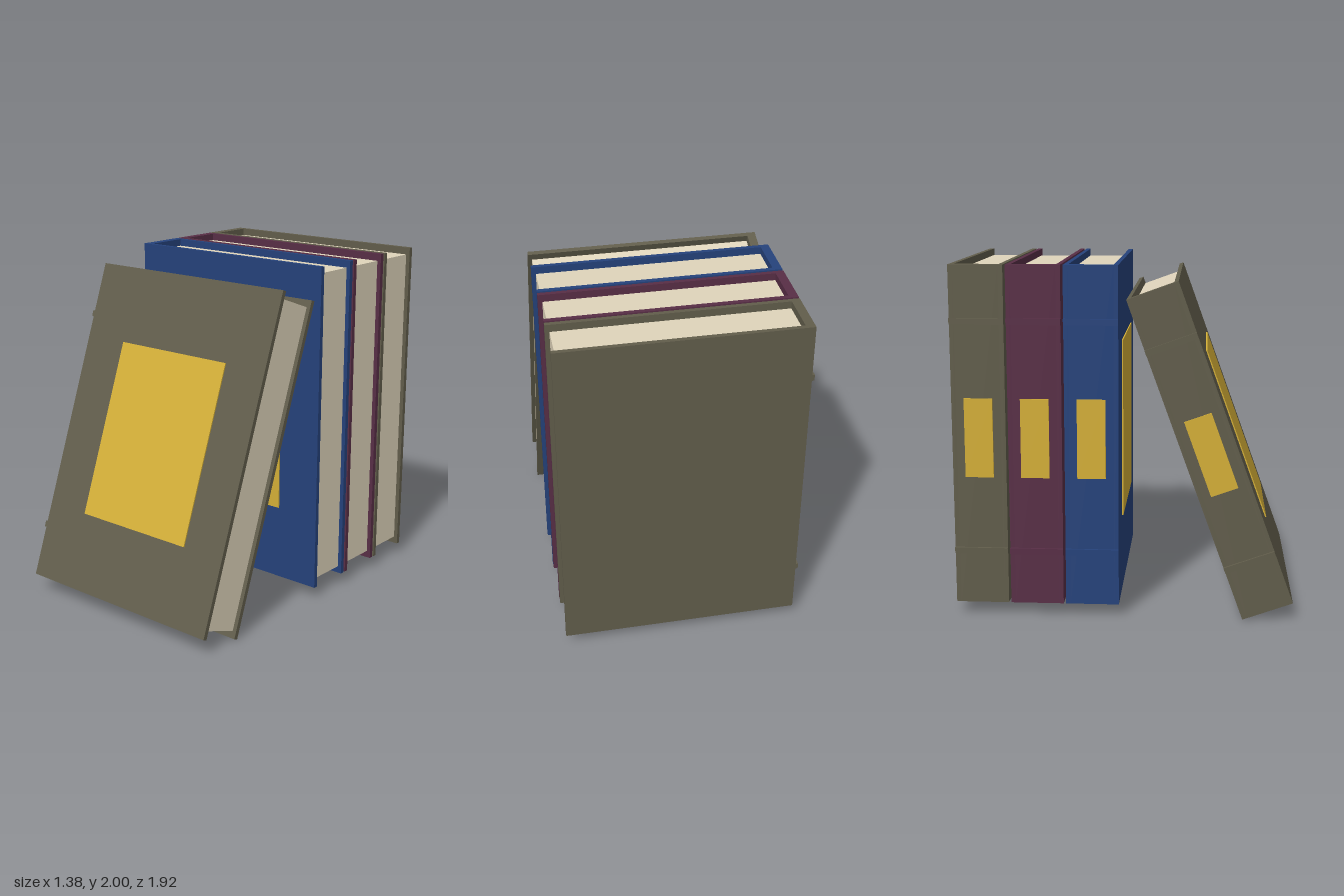
import * as THREE from 'three';

const mat = (name, color) => {
  const m = new THREE.MeshStandardMaterial({ color });
  m.name = name;
  return m;
};

const W = 1.356, H = 1.93, T = 0.302; // book width, height, thickness
const BOARD = 0.026, SPINE = 0.05;

export function createModel() {
  const pages = mat('cream paper', 0xdfd4bb);
  const gold = mat('gold leaf', 0xd4af37);
  const olive = mat('olive cloth', 0x615d4b);
  const maroon = mat('maroon cloth', 0x582e46);
  const blue = mat('blue cloth', 0x25427b);

  // One hardback, centred on its own origin, spine at -x and front cover at +z
  function makeBook(name, cloth) {
    const book = new THREE.Group();
    book.name = name;
    const box = (part, material, w, h, d, x, y, z) => {
      const mesh = new THREE.Mesh(new THREE.BoxGeometry(w, h, d), material);
      mesh.name = part;
      mesh.position.set(x, y, z);
      book.add(mesh);
    };
    const left = -W / 2;

    // Case: two boards joined by the spine
    box('frontCover', cloth, W, H, BOARD, 0, 0, T / 2 - BOARD / 2);
    box('backCover', cloth, W, H, BOARD, 0, 0, -T / 2 + BOARD / 2);
    box('spine', cloth, SPINE, H, T - 2 * BOARD, left + SPINE / 2, 0, 0);

    // Page block, set back from the three open edges
    const pageW = W - SPINE - 0.024;
    box('pageBlock', pages, pageW, H - 0.084, T - 2 * BOARD, left + SPINE + pageW / 2, 0, 0);

    // Raised spine bands
    for (const y of [-0.655, 0.655]) {
      box('spineBand', cloth, 0.014, 0.035, T, left - 0.007, y, 0);
    }

    // Gilt panels on the spine and front cover
    box('spineLabel', gold, 0.009, 0.45, 0.16, left - 0.0045, 0, 0);
    box('coverPanel', gold, 0.79, 1.04, 0.007, 0.011, 0, T / 2 + 0.0035);
    return book;
  }

  const model = new THREE.Group();
  model.name = 'bookSet';

  // Three upright volumes, front to back
  const row = [['blueBook', blue, -0.176], ['maroonBook', maroon, -0.492], ['oliveBook', olive, -0.807]];
  for (const [name, cloth, z] of row) {
    const book = makeBook(name, cloth);
    book.position.set(0.011, 1.035, z);
    model.add(book);
  }

  // Fourth volume leaning back against the row
  const leaning = makeBook('leaningBook', olive);
  leaning.position.set(-0.001, 0.958, 0.491);
  leaning.rotation.x = THREE.MathUtils.degToRad(-20);
  model.add(leaning);

  return model;
}
